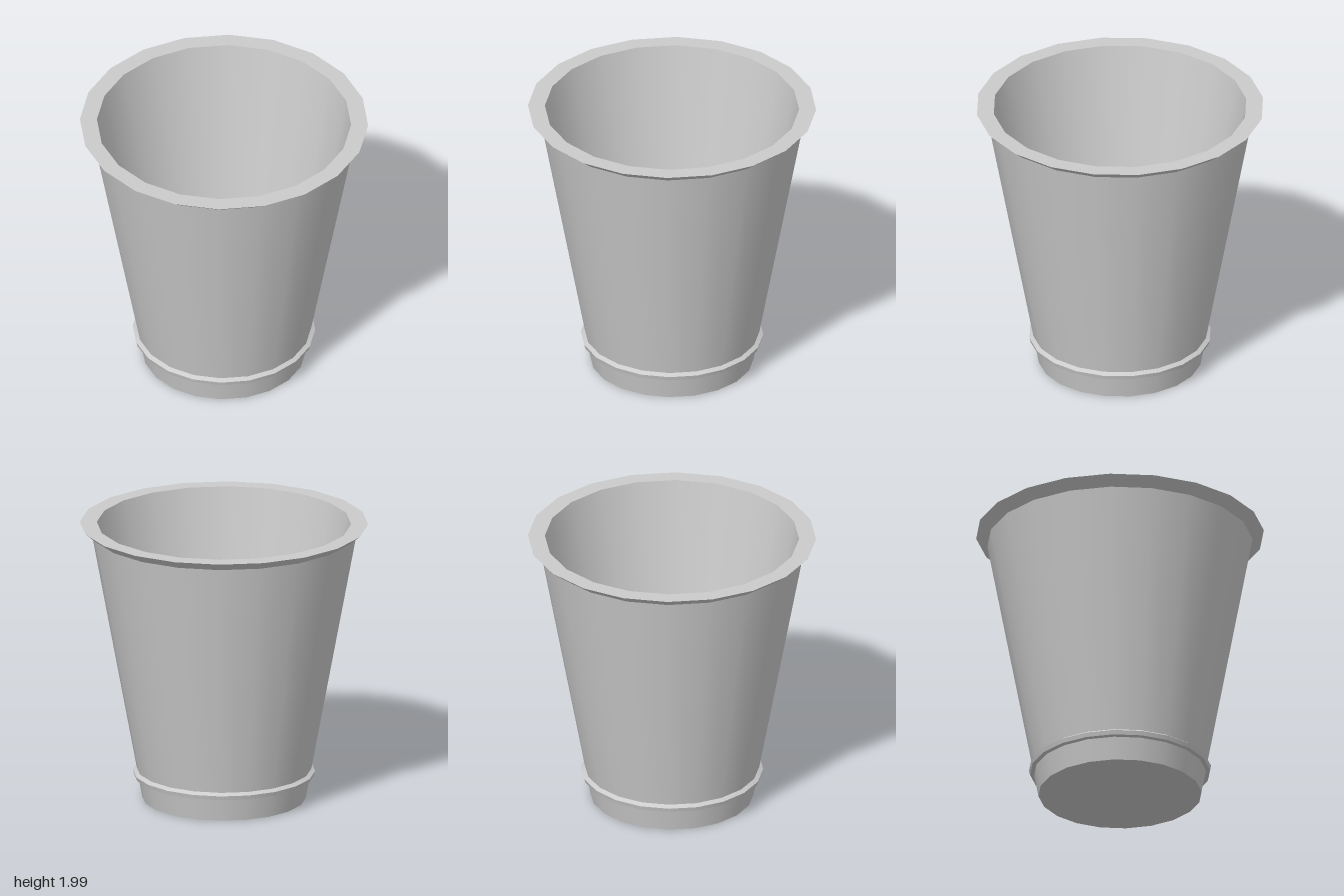
import * as THREE from 'three';

const SIDES = 20;

export function createModel() {
  const group = new THREE.Group();
  group.name = 'taperedBin';
  const material = new THREE.MeshStandardMaterial({ color: 0xcccccc });

  // Each part is one smooth band of the turned profile; separate bands keep the creases sharp.
  function band(name, ...points) {
    const profile = points.map(([r, y]) => new THREE.Vector2(r, y));
    const mesh = new THREE.Mesh(new THREE.LatheGeometry(profile, SIDES), material);
    mesh.name = name;
    group.add(mesh);
  }

  // Base and foot
  band('baseUnderside', [0, 0], [0.567, 0]);
  band('foot', [0.567, 0], [0.597, 0.16]);

  // Raised ring around the foot
  band('ringUnderside', [0.597, 0.16], [0.625, 0.165]);
  band('ringEdge', [0.625, 0.165], [0.633, 0.195]);
  band('ringTop', [0.633, 0.195], [0.606, 0.213]);

  // Outer wall and flared rim
  band('outerWall', [0.606, 0.213], [0.922, 1.922]);
  band('rimFlare', [0.922, 1.922], [1, 1.985]);
  band('rimTop', [1, 1.985], [0.882, 1.985]);

  // Hollow interior
  band('innerWall', [0.882, 1.985], [0.607, 0.4]);
  band('innerFloor', [0.607, 0.4], [0, 0.4]);

  return group;
}
